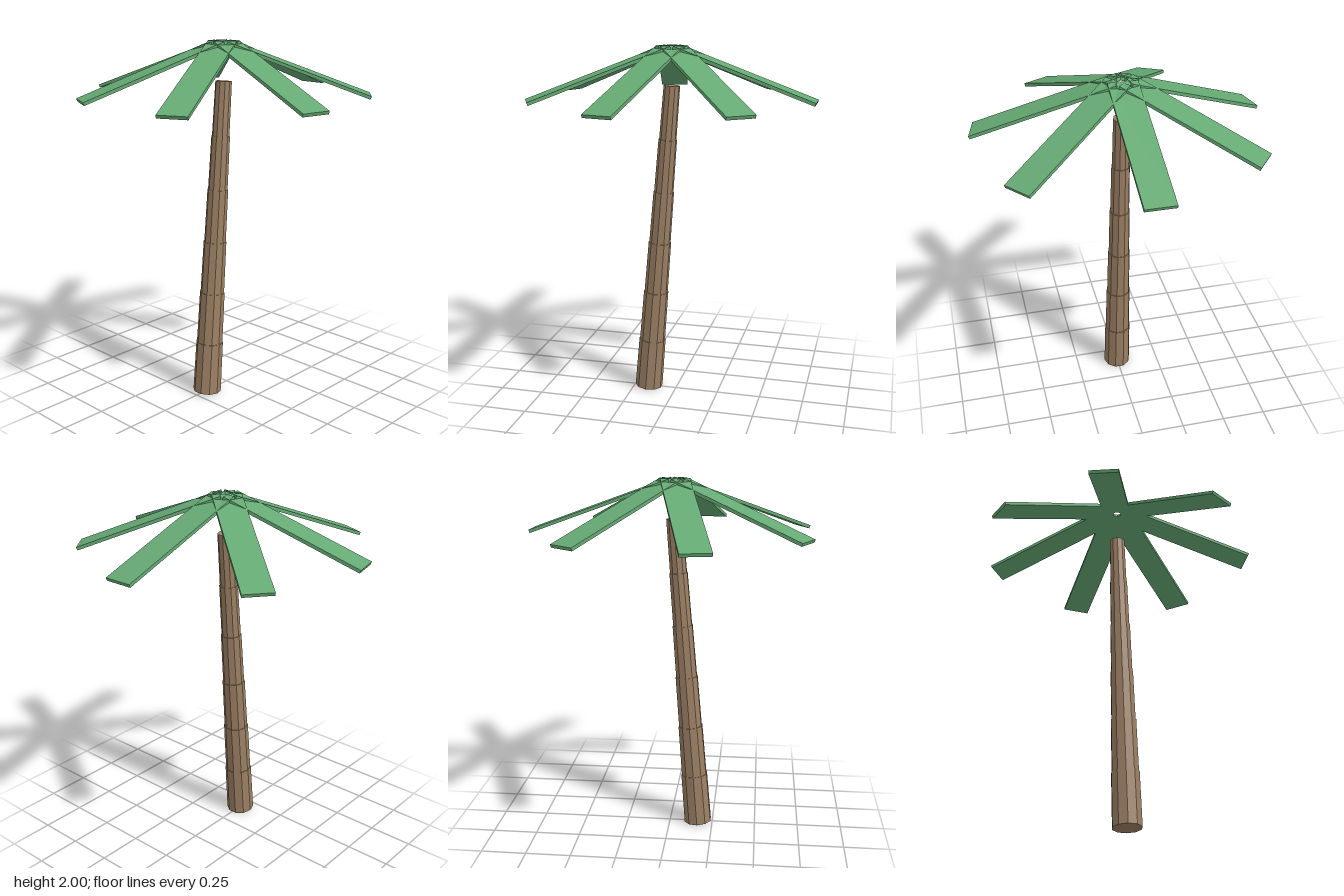
import * as THREE from 'three';

const SEGMENTS = 6;
const FRONDS = 7;
const LEAN = 0.08;   // trunk lean towards +x
const DROOP = 0.35;  // downward pitch of the fronds

export function createModel() {
  const model = new THREE.Group();
  model.name = 'palmTree';

  const bark = new THREE.MeshStandardMaterial({ color: 0x9c8064 });
  bark.name = 'barkBrown';
  const leaf = new THREE.MeshStandardMaterial({ color: 0x66aa74 });
  leaf.name = 'leafGreen';

  // Leaning trunk: stacked, stepped, slightly tapered faceted segments
  const trunk = new THREE.Group();
  trunk.name = 'trunk';
  trunk.position.set(-0.165, 0.006, 0);
  trunk.rotation.z = -LEAN;
  const step = 1.785 / SEGMENTS;
  for (let i = 0; i < SEGMENTS; i++) {
    const r = 0.08 - 0.0064 * i;
    const geo = new THREE.CylinderGeometry(r - 0.003, r, step, 10).toNonIndexed();
    geo.computeVertexNormals(); // hard facets
    const segment = new THREE.Mesh(geo, bark);
    segment.name = 'trunkSegment' + (i + 1);
    segment.position.y = (i + 0.5) * step;
    trunk.add(segment);
  }
  model.add(trunk);

  // Crown: drooping flat planks radiating around a small central opening
  const crown = new THREE.Group();
  crown.name = 'crown';
  crown.position.set(-0.022, 2, 0);
  const length = 0.81, thickness = 0.018;
  const frondGeo = new THREE.BoxGeometry(length, thickness, 0.16);
  frondGeo.translate(length / 2, -thickness / 2, 0); // pivot on the inner top edge
  frondGeo.rotateZ(-DROOP);
  frondGeo.translate(0.027, 0, 0);
  for (let i = 0; i < FRONDS; i++) {
    const frond = new THREE.Mesh(frondGeo, leaf);
    frond.name = 'frond' + (i + 1);
    frond.rotation.y = (i / FRONDS) * Math.PI * 2;
    crown.add(frond);
  }
  model.add(crown);

  return model;
}
